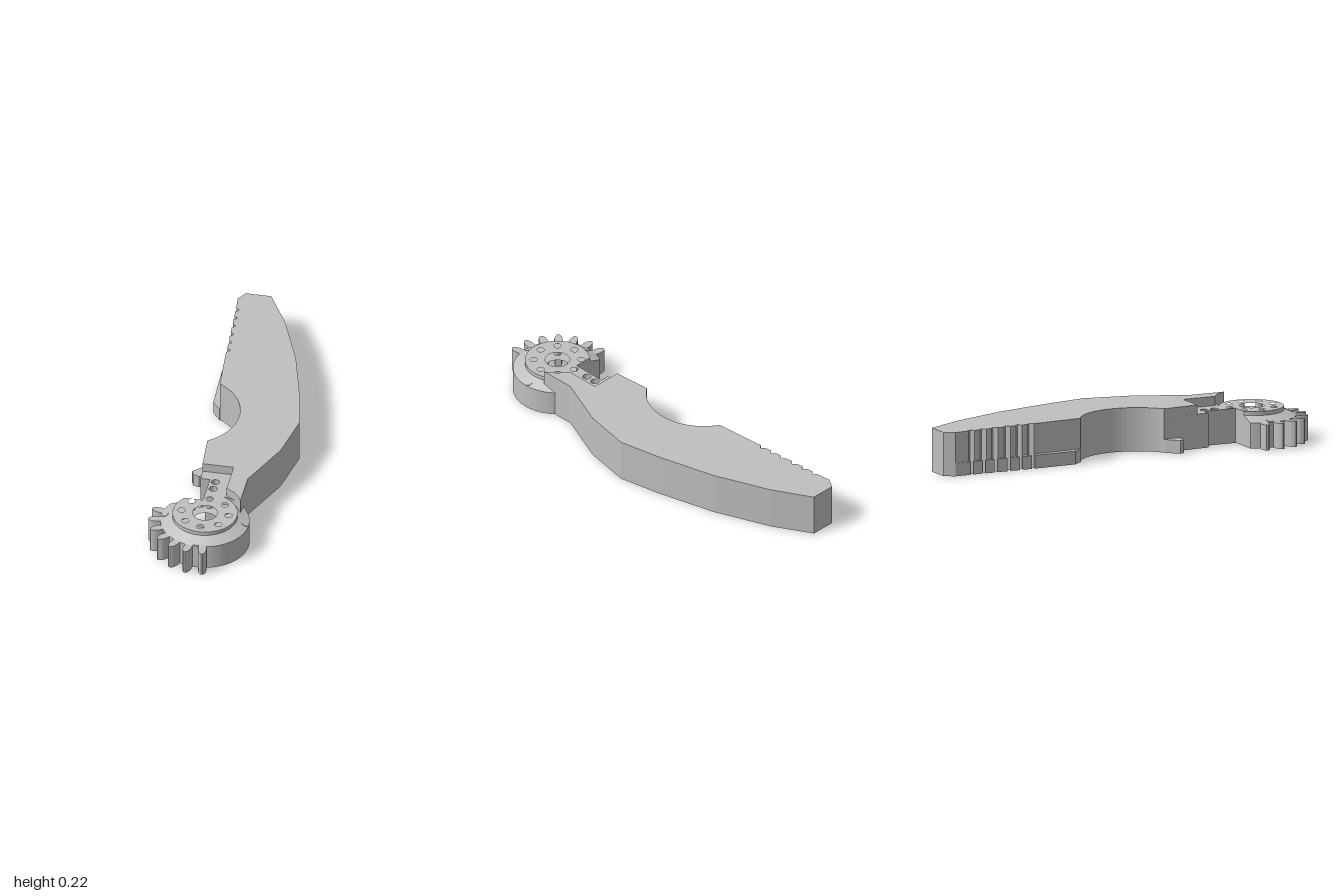
import * as THREE from 'three';

const CX = -0.025, CZ = 0.73; // gear axis

export function createModel() {
  const model = new THREE.Group();
  model.name = 'gripperFinger';
  const grey = new THREE.MeshStandardMaterial({ color: 0xbfbfbf });
  grey.name = 'plain grey';

  const add = (name, geometry) => {
    const mesh = new THREE.Mesh(geometry, grey);
    mesh.name = name;
    model.add(mesh);
    return mesh;
  };
  // Plan outline of [x, z] points raised from y0 to y1, holes as [x, z, radius]
  const slab = (name, points, y0, y1, holes = []) => {
    const shape = new THREE.Shape(points.map(([x, z]) => new THREE.Vector2(x, -z)));
    for (const [x, z, r] of holes) {
      shape.holes.push(new THREE.Path().absarc(x, -z, r, 0, Math.PI * 2, true));
    }
    const g = new THREE.ExtrudeGeometry(shape, { depth: y1 - y0, bevelEnabled: false, curveSegments: 16 });
    return add(name, g.rotateX(-Math.PI / 2).translate(0, y0, 0));
  };
  const arc = (cx, cz, r, a0, a1, n) => Array.from({ length: n + 1 }, (_, i) => {
    const a = a0 + (a1 - a0) * i / n;
    return [cx + r * Math.cos(a), cz + r * Math.sin(a)];
  });

  // Gripping wall with vertical notches, and the curved throat
  const wallX = z => -0.195 + (z + 0.9) * 0.045 / 0.65;
  const notches = [-0.86, -0.795, -0.73, -0.66, -0.595, -0.53];
  const wall = notches.flatMap(z => [
    [wallX(z), z - 0.017], [wallX(z) + 0.018, z], [wallX(z), z + 0.017],
  ]);
  const throat = arc(-0.281, -0.01, 0.276, -1.07, 0.935, 24);
  const back = [
    [-0.045, -1], [-0.17, -1], [-0.2, -0.95], [-0.195, -0.9], ...wall, ...throat,
  ];
  const outer = [[0.135, 0.48], [0.245, 0.22], [0.29, -0.02], [0.245, -0.245], [0.17, -0.53], [0.06, -0.81]];
  const seat = [[0.05, 0.572], [0.095, 0.603], [0.12, 0.632], [0.135, 0.66]];

  // Arm: lower body, drilled layer, and top layer with a recess
  const full = [...back, [-0.1, 0.46], [-0.055, 0.46], [-0.055, 0.585], [0.05, 0.585], ...seat.slice(1), ...outer];
  slab('armBody', full, 0, 0.13);
  slab('armDrilledLayer', full, 0.13, 0.17, [[CX, 0.475, 0.02], [CX, 0.53, 0.02]]);
  slab('armTop', [...back, [-0.103, 0.4], [0.05, 0.4], ...seat, ...outer], 0.17, 0.215);

  // Low toothed ledge along the gripping wall
  const ledge = [[-0.2, -0.95]];
  for (const z of notches) {
    ledge.push([-0.199, z - 0.008], [wallX(z), z - 0.017], [wallX(z) + 0.018, z],
      [wallX(z), z + 0.017], [-0.198, z + 0.008]);
  }
  ledge.push([-0.19, -0.3], [-0.15, -0.25], [-0.13, -0.27], [-0.15, -0.92]);
  slab('grippingLedge', ledge, 0, 0.065);

  // Small hook at the throat
  slab('throatHook', [[-0.1, 0.205], [-0.125, 0.215], [-0.18, 0.27], [-0.17, 0.295],
    [-0.14, 0.305], [-0.1, 0.29]], 0, 0.065);

  // Disc outline with the corner beside the neck cut away
  const disc = r => [
    ...arc(CX, CZ, r, -Math.acos(-0.03 / r), Math.PI + Math.asin(0.1 / r), 72),
    [CX - 0.03, CZ - 0.1],
  ];
  const bore = [CX, CZ, 0.06];
  slab('gearBody', disc(0.215), 0, 0.125, [bore]);

  // Sloped shoulder lofted between two disc outlines
  const low = disc(0.215), high = disc(0.157), pos = [];
  low.forEach(([x, z], i) => {
    const j = (i + 1) % low.length;
    const a = [x, 0.125, z], b = [low[j][0], 0.125, low[j][1]];
    const c = [high[j][0], 0.15, high[j][1]], d = [high[i][0], 0.15, high[i][1]];
    pos.push(...a, ...c, ...b, ...a, ...d, ...c);
  });
  const cone = new THREE.BufferGeometry();
  cone.setAttribute('position', new THREE.Float32BufferAttribute(pos, 3));
  cone.computeVertexNormals();
  add('gearShoulder', cone);

  // Raised hub with a ring of holes
  const ring = Array.from({ length: 8 }, (_, i) => {
    const a = i * Math.PI / 4;
    return [CX + 0.115 * Math.cos(a), CZ + 0.115 * Math.sin(a), 0.0175];
  });
  slab('gearHub', disc(0.157), 0.125, 0.17, [bore, ...ring]);

  // Round spots on the shoulder
  for (const a of [0, Math.PI / 2, Math.PI]) {
    const spot = add('shoulderSpot', new THREE.CylinderGeometry(0.018, 0.018, 0.006, 20));
    spot.position.set(CX + 0.196 * Math.cos(a), 0.132, CZ + 0.196 * Math.sin(a));
    spot.rotation.set(Math.sin(a) * 0.4, 0, -Math.cos(a) * 0.4);
  }

  // Gear teeth on the free side
  const profile = [[0.19, 0.016], [0.235, 0.02], [0.255, 0.017], [0.268, 0.01], [0.273, 0.004]];
  const tooth = [...profile, ...profile.map(([r, w]) => [r, -w]).reverse()];
  for (let i = 0; i < 7; i++) {
    const a = THREE.MathUtils.degToRad(190 - i * 18), c = Math.cos(a), s = Math.sin(a);
    slab('gearTooth', tooth.map(([r, w]) => [CX + r * c - w * s, CZ + r * s + w * c]), 0, 0.125);
  }
  return model;
}
